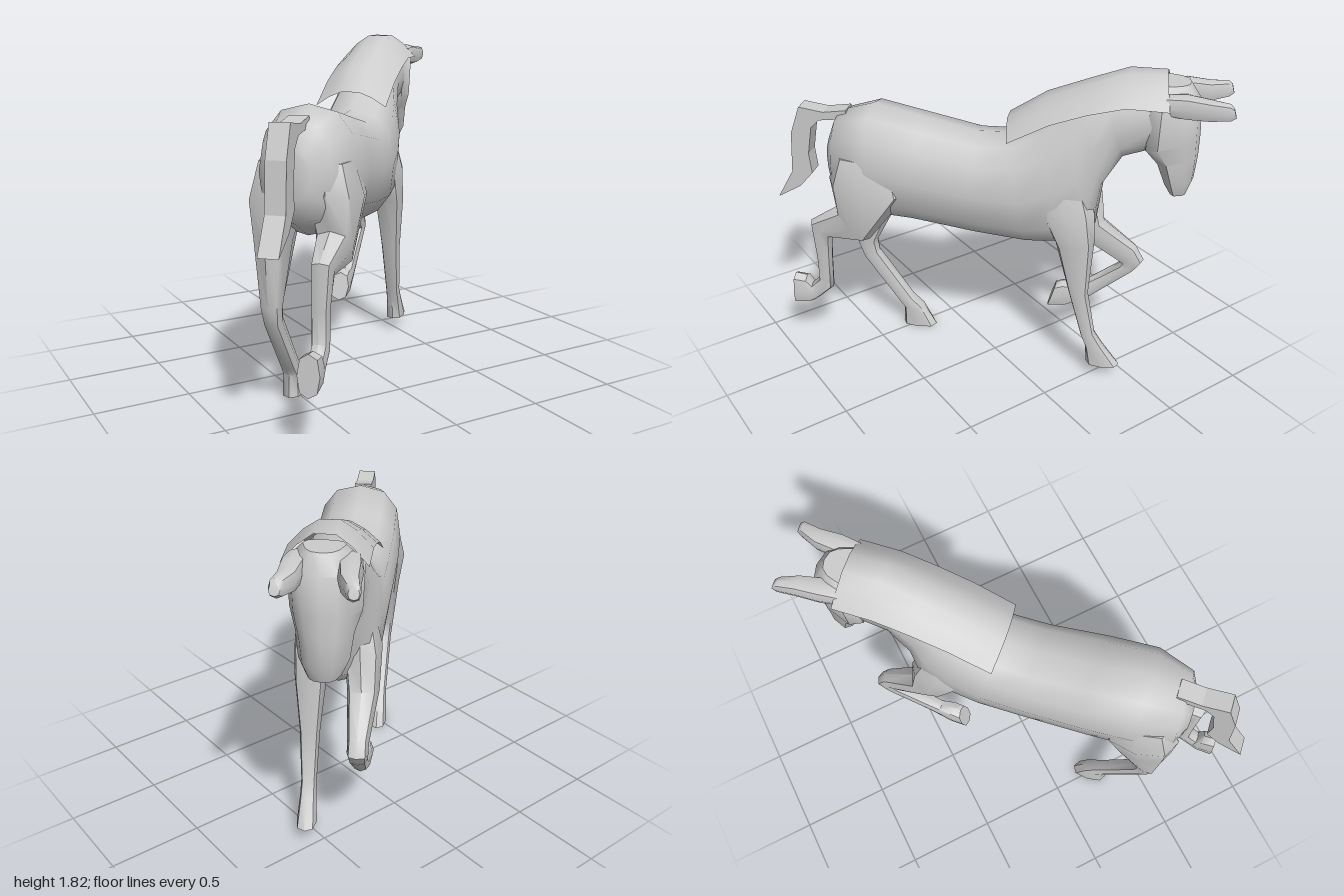
import * as THREE from 'three';
import { toCreasedNormals, mergeVertices } from 'three/addons/utils/BufferGeometryUtils.js';

// Closed loft. Section: [frontX, frontY, backX, backY, halfWidth, centreZ]
// square < 1 gives boxier rings; taper narrows the front of each ring.
function loft(sections, { sides = 10, square = 0.8, taper = 0, crease = 0.8 } = {}) {
  const pos = [], idx = [];
  const bend = v => Math.sign(v) * Math.pow(Math.abs(v), square);
  for (const [ax, ay, bx, by, w, z = 0] of sections) {
    for (let k = 0; k < sides; k++) {
      const t = (k / sides) * Math.PI * 2;
      const u = bend(Math.cos(t)), v = bend(Math.sin(t));
      pos.push((ax + bx) / 2 + (ax - bx) / 2 * u, (ay + by) / 2 + (ay - by) / 2 * u, z + w * v * (1 - taper * u));
    }
  }
  const rows = sections.length;
  for (let r = 0; r < rows - 1; r++) {
    for (let k = 0; k < sides; k++) {
      const a = r * sides + k, b = r * sides + (k + 1) % sides;
      idx.push(a, b, a + sides, b, b + sides, a + sides);
    }
  }
  // End caps
  const last = (rows - 1) * sides;
  for (let k = 1; k < sides - 1; k++) idx.push(0, k + 1, k, last, last + k, last + k + 1);
  // Make the faces point outward whichever way the sections run
  const p = i => new THREE.Vector3().fromArray(pos, i * 3);
  let volume = 0;
  for (let i = 0; i < idx.length; i += 3) volume += p(idx[i]).dot(p(idx[i + 1]).cross(p(idx[i + 2])));
  if (volume < 0) idx.reverse();
  const geo = new THREE.BufferGeometry();
  geo.setAttribute('position', new THREE.Float32BufferAttribute(pos, 3));
  geo.setIndex(idx);
  return toCreasedNormals(geo, crease);
}

// Open roof-shaped shell. Station: [topX, topY, edgeX, edgeY]
function maneShell(stations, halfWidth) {
  const across = [[-1, 1], [-0.62, 0.38], [-0.25, 0], [0.25, 0], [0.62, 0.38], [1, 1]];
  const pos = [], idx = [], n = across.length;
  for (const [tx, ty, ex, ey] of stations) {
    for (const [s, d] of across) pos.push(tx + (ex - tx) * d, ty + (ey - ty) * d, s * halfWidth);
  }
  for (let r = 0; r < stations.length - 1; r++) {
    for (let k = 0; k < n - 1; k++) {
      const a = r * n + k, b = a + 1;
      idx.push(a, b, a + n, b, b + n, a + n);
    }
  }
  const geo = new THREE.BufferGeometry();
  geo.setAttribute('position', new THREE.Float32BufferAttribute(pos, 3));
  geo.setIndex(idx);
  return toCreasedNormals(geo, 0.8);
}

export function createModel() {
  const grey = new THREE.MeshStandardMaterial({ color: 0xcccccc, side: THREE.DoubleSide });
  grey.name = 'plain grey';
  const model = new THREE.Group();
  model.name = 'horse';
  // The horse is built facing +x, then turned to stand diagonally
  const horse = new THREE.Group();
  horse.name = 'horseBody';
  const add = (name, geo) => {
    const mesh = new THREE.Mesh(geo, grey);
    mesh.name = name;
    horse.add(mesh);
    return mesh;
  };

  // Rump, barrel, chest and neck in one run
  add('bodyAndNeck', loft([
    [-0.93, 1.34, -0.94, 1.12, 0.09], [-0.87, 1.48, -0.90, 1.00, 0.18],
    [-0.67, 1.54, -0.70, 0.90, 0.245], [-0.40, 1.48, -0.45, 0.89, 0.25],
    [-0.10, 1.42, -0.10, 0.84, 0.24], [0.10, 1.43, 0.20, 0.81, 0.235],
    [0.25, 1.52, 0.42, 0.82, 0.22], [0.36, 1.60, 0.56, 0.92, 0.20],
    [0.45, 1.66, 0.59, 1.18, 0.17], [0.60, 1.73, 0.69, 1.36, 0.15],
    [0.86, 1.74, 0.84, 1.42, 0.15],
  ], { sides: 12, crease: 1.0 }));

  // Head hanging down to the muzzle
  add('head', loft([
    [1.00, 1.78, 0.84, 1.78, 0.09], [1.06, 1.69, 0.79, 1.69, 0.165],
    [1.07, 1.50, 0.78, 1.44, 0.155], [1.07, 1.38, 0.85, 1.36, 0.125],
    [1.06, 1.25, 0.90, 1.24, 0.11], [1.03, 1.16, 0.94, 1.17, 0.075],
  ], { square: 0.7, taper: 0.3 }));

  // Ears pointing forward
  for (const [name, m] of [['rightEar', 1], ['leftEar', -1]]) {
    add(name, loft([
      [0.88, 1.75, 0.88, 1.64, 0.05, 0.12 * m], [0.98, 1.76, 0.98, 1.63, 0.06, 0.125 * m],
      [1.10, 1.745, 1.10, 1.63, 0.05, 0.135 * m], [1.19, 1.74, 1.20, 1.65, 0.035, 0.16 * m],
      [1.21, 1.72, 1.225, 1.67, 0.025, 0.165 * m],
    ], { sides: 8 }));
  }

  add('mane', maneShell([
    [0.07, 1.53, 0.09, 1.45], [0.27, 1.66, 0.31, 1.57], [0.50, 1.75, 0.50, 1.64],
    [0.69, 1.82, 0.69, 1.69], [0.88, 1.82, 0.905, 1.685],
  ], 0.2));

  // Tail: a bent flat-sided slab
  const tailShape = new THREE.Shape([
    [-0.82, 1.50], [-0.95, 1.48], [-1.09, 1.50], [-1.15, 1.34], [-1.17, 1.10], [-1.27, 0.93],
    [-1.13, 1.01], [-1.05, 1.10], [-1.06, 1.22], [-1.03, 1.38], [-0.98, 1.43], [-0.82, 1.45],
  ].map(([x, y]) => new THREE.Vector2(x, y)));
  const tail = add('tail', new THREE.ExtrudeGeometry(tailShape, { depth: 0.1, bevelEnabled: false }));
  tail.position.z = -0.05;

  // Legs, each from the body down to the hoof
  const legs = {
    rightHindLeg: [
      [-0.52, 1.28, -0.86, 1.28, 0.10, 0.13], [-0.46, 1.08, -0.91, 1.14, 0.13, 0.15],
      [-0.70, 0.77, -0.87, 0.97, 0.09, 0.16], [-0.92, 0.77, -1.04, 0.86, 0.055, 0.16],
      [-0.94, 0.62, -1.03, 0.62, 0.045, 0.15], [-0.95, 0.41, -1.03, 0.47, 0.045, 0.15],
      [-1.05, 0.32, -1.08, 0.42, 0.045, 0.15], [-1.09, 0.29, -1.11, 0.47, 0.055, 0.15],
      [-1.19, 0.27, -1.18, 0.48, 0.055, 0.15],
    ],
    leftHindLeg: [
      [-0.52, 1.28, -0.86, 1.28, 0.10, -0.13], [-0.52, 1.08, -0.92, 1.10, 0.13, -0.14],
      [-0.60, 0.88, -0.91, 0.90, 0.09, -0.15], [-0.76, 0.58, -0.88, 0.56, 0.055, -0.15],
      [-0.75, 0.50, -0.85, 0.46, 0.045, -0.15], [-0.55, 0.20, -0.64, 0.16, 0.045, -0.14],
      [-0.48, 0.13, -0.61, 0.12, 0.05, -0.14], [-0.41, 0, -0.62, 0, 0.055, -0.14],
    ],
    rightForeLeg: [
      [0.50, 1.22, 0.30, 1.20, 0.07, 0.12], [0.56, 1.05, 0.25, 1.08, 0.10, 0.13],
      [0.57, 0.88, 0.36, 0.85, 0.085, 0.14], [0.55, 0.55, 0.44, 0.55, 0.055, 0.145],
      [0.60, 0.28, 0.52, 0.26, 0.042, 0.145], [0.65, 0.20, 0.55, 0.18, 0.045, 0.145],
      [0.75, 0.07, 0.56, 0.07, 0.055, 0.145],
    ],
    leftForeLeg: [
      [0.50, 1.22, 0.30, 1.20, 0.07, -0.12], [0.58, 1.05, 0.25, 1.05, 0.10, -0.13],
      [0.60, 0.86, 0.40, 0.80, 0.085, -0.14], [0.79, 0.71, 0.70, 0.60, 0.055, -0.14],
      [0.84, 0.62, 0.71, 0.60, 0.055, -0.14], [0.79, 0.55, 0.70, 0.58, 0.05, -0.14],
      [0.52, 0.32, 0.46, 0.41, 0.042, -0.13], [0.40, 0.26, 0.38, 0.43, 0.055, -0.13],
      [0.29, 0.25, 0.34, 0.41, 0.055, -0.13],
    ],
  };
  for (const [name, sections] of Object.entries(legs)) add(name, loft(sections, { sides: 8 }));

  horse.position.set(-0.03, 0, -0.03);
  horse.rotation.y = Math.PI / 4;
  model.add(horse);
  return model;
}
